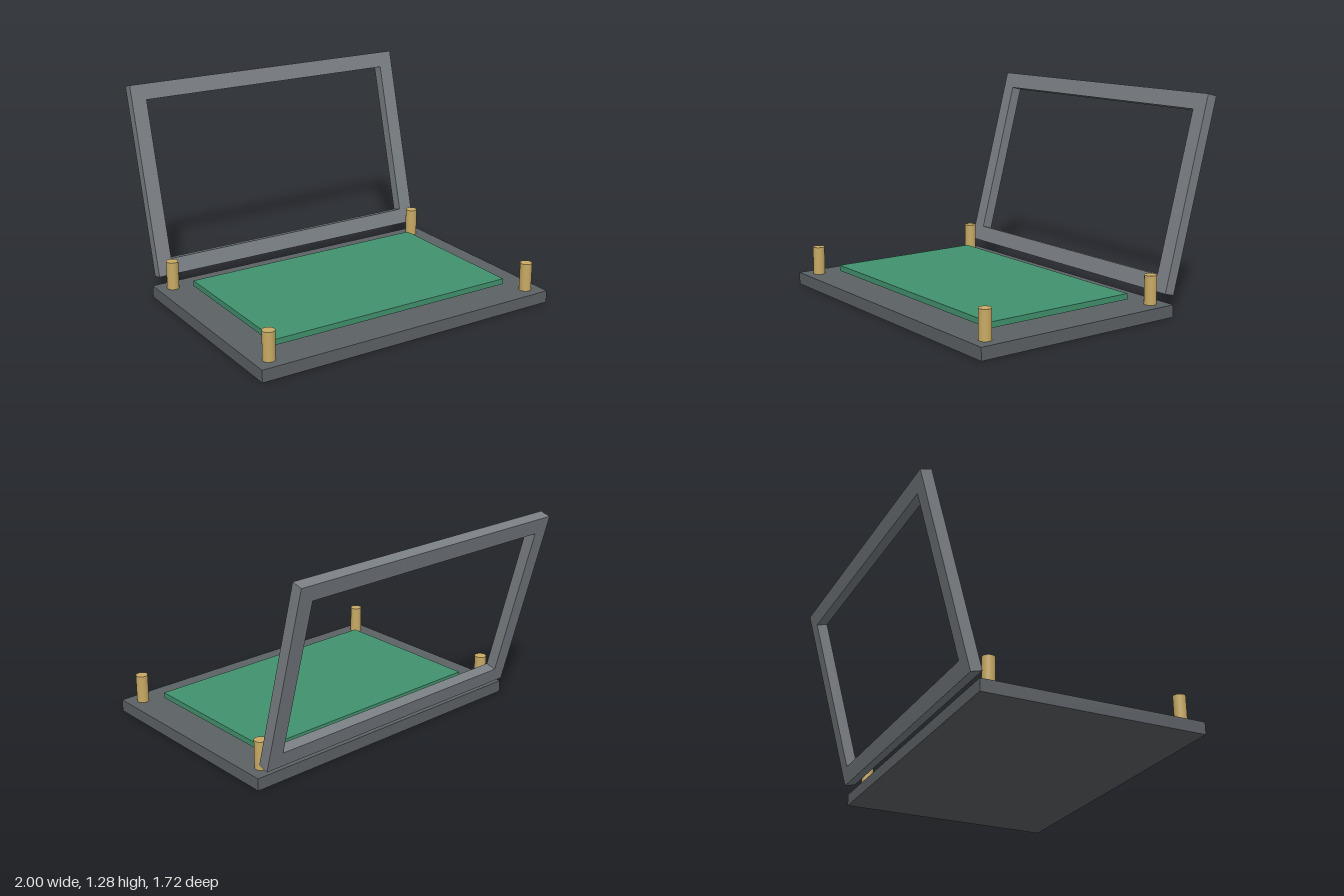
import * as THREE from 'three';

const material = (color) => new THREE.MeshStandardMaterial({ color });

export function createModel() {
  const model = new THREE.Group();
  model.name = 'openCaseWithBoard';

  const add = (name, geometry, mat, x, y, z) => {
    const mesh = new THREE.Mesh(geometry, mat);
    mesh.name = name;
    mesh.position.set(x, y, z);
    model.add(mesh);
    return mesh;
  };

  // Base plate
  add('basePlate', new THREE.BoxGeometry(2, 0.075, 1.375), material(0x5c6165), 0, 0.0375, 0.172);

  // Circuit board floating just above the base
  add('circuitBoard', new THREE.BoxGeometry(1.62, 0.035, 1), material(0x41916d), 0, 0.114, 0.17);

  // Four corner standoffs
  const brass = material(0xc8aa64);
  const post = new THREE.CylinderGeometry(0.037, 0.037, 0.175, 32);
  for (const x of [-0.905, 0.905]) {
    for (const z of [0.766, -0.422]) {
      add('standoff', post, brass, x, 0.1625, z);
    }
  }

  // Tilted bezel: rectangle with a rectangular opening
  const w = 0.965, h = 0.595, iw = 0.87, ih = 0.496, depth = 0.07;
  const rectangle = (a, b) => [[-a, -b], [a, -b], [a, b], [-a, b]].map(([x, y]) => new THREE.Vector2(x, y));
  const outline = new THREE.Shape(rectangle(w, h));
  outline.holes.push(new THREE.Path(rectangle(iw, ih).reverse()));
  const bezelGeometry = new THREE.ExtrudeGeometry(outline, { depth, bevelEnabled: false });
  bezelGeometry.translate(0, 0, -depth / 2);
  const bezel = add('bezelFrame', bezelGeometry, material(0x7a7f84), 0, 0.701, -0.672);
  bezel.rotation.x = -THREE.MathUtils.degToRad(15);

  return model;
}
